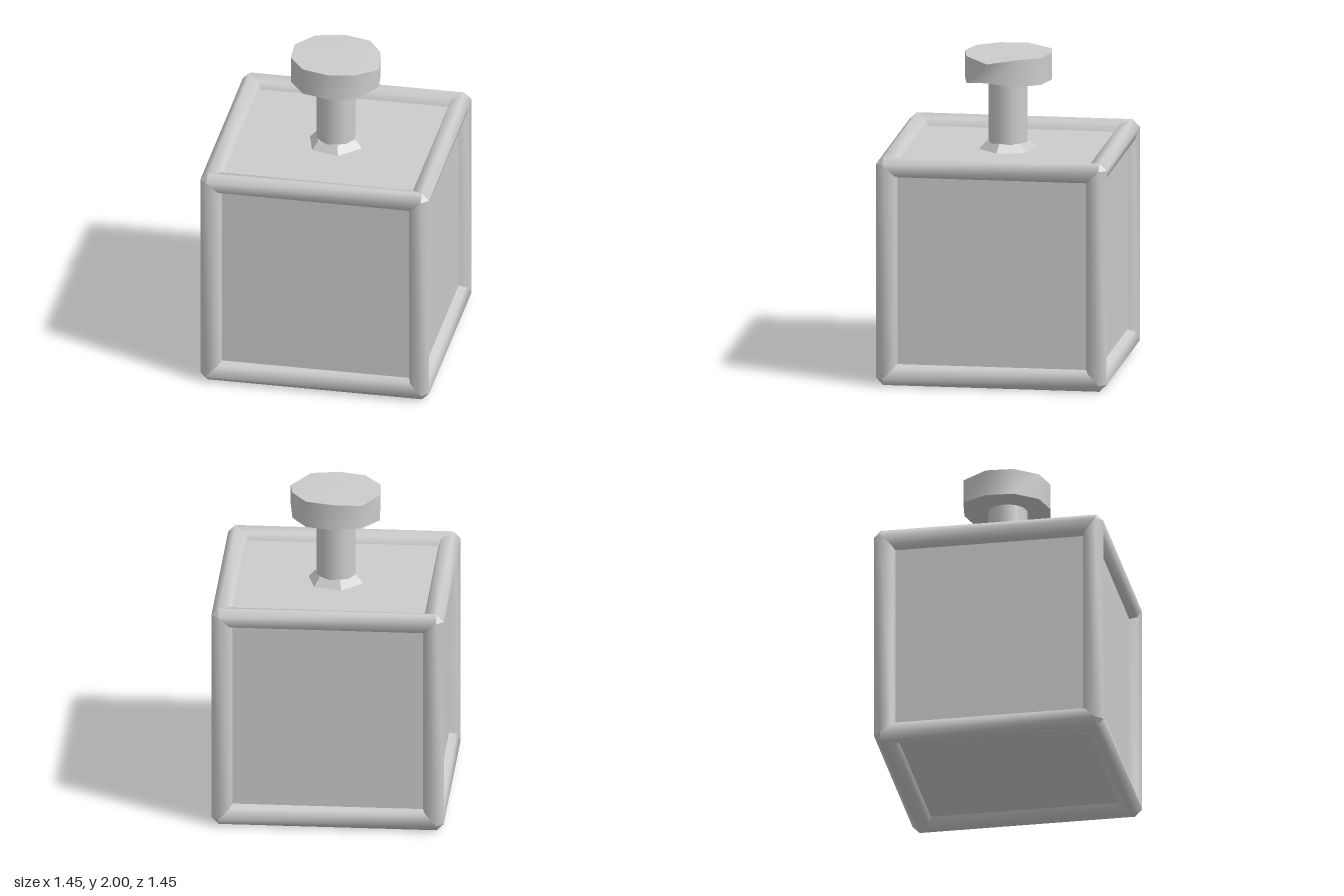
import * as THREE from 'three';

const HALF = 0.725; // half the width of the cube

function build(verts, index) {
  const g = new THREE.BufferGeometry();
  g.setAttribute('position', new THREE.Float32BufferAttribute(verts.flat(), 3));
  g.setIndex(index);
  g.computeVertexNormals();
  return g;
}

// One rounded edge bar along x, mitred where it meets its neighbours
function barGeometry() {
  const profile = [[0.59, 0.65], [0.61, 0.705], [0.68, 0.725], [0.725, 0.68], [0.705, 0.61], [0.65, 0.59]];
  const verts = [], index = [];
  profile.forEach(([y, z], i) => {
    const m = Math.min(y, z);
    verts.push([-m, y, z], [m, y, z]);
    const k = i * 2;
    if (i < profile.length - 1) index.push(k, k + 1, k + 3, k, k + 3, k + 2);
  });
  return build(verts, index);
}

// Uneven ten-sided knob; the two corners that stick out are pinched in height
function knobGeometry() {
  const ring = [[0, -0.275], [0.17, -0.23], [0.265, -0.09], [0.29, 0.09, 0.025], [0.175, 0.235],
    [0, 0.27], [-0.165, 0.225], [-0.27, 0.085], [-0.28, -0.09], [-0.18, -0.25, 0.01]];
  const n = ring.length;
  const top = ring.map(([x, z, d = 0]) => [x, 2 - d, z]);
  const bottom = ring.map(([x, z, d = 0]) => [x, 1.83 + d, z]);
  const verts = [...top, ...bottom, ...top, ...bottom, [0, 2, 0], [0, 1.83, 0]];
  const index = [];
  for (let i = 0; i < n; i++) {
    const j = (i + 1) % n;
    index.push(n + j, n + i, i, n + j, i, j); // side
    index.push(4 * n, 2 * n + j, 2 * n + i); // top
    index.push(4 * n + 1, 3 * n + i, 3 * n + j); // underside
  }
  return build(verts, index);
}

export function createModel() {
  const model = new THREE.Group();
  model.name = 'framedCubeWithKnob';
  const grey = new THREE.MeshStandardMaterial({ color: 0xcccccc });
  grey.name = 'plain grey';

  const add = (parent, name, geometry, y = 0) => {
    const mesh = new THREE.Mesh(geometry, grey);
    mesh.name = name;
    mesh.position.y = y;
    parent.add(mesh);
    return mesh;
  };

  // Recessed panels
  add(model, 'panels', new THREE.BoxGeometry(1.32, 1.32, 1.32), HALF);

  // Frame: four bars along each axis
  const frame = new THREE.Group();
  frame.name = 'frame';
  frame.position.y = HALF;
  model.add(frame);
  const bar = barGeometry();
  for (const [axis, ry, rz] of [['X', 0, 0], ['Y', 0, Math.PI / 2], ['Z', Math.PI / 2, 0]]) {
    const set = new THREE.Group();
    set.name = 'bars' + axis;
    set.rotation.set(0, ry, rz);
    frame.add(set);
    for (let i = 0; i < 4; i++) add(set, 'edgeBar', bar).rotation.x = i * Math.PI / 2;
  }

  // Cut corners
  const corner = build([[0.725, 0.68, 0.68], [0.68, 0.725, 0.68], [0.68, 0.68, 0.725]], [0, 1, 2]);
  for (const flip of [0, Math.PI]) {
    for (let i = 0; i < 4; i++) add(frame, 'corner', corner).rotation.set(flip, i * Math.PI / 2, 0);
  }

  // Collar, stem and knob on top
  const collar = new THREE.CylinderGeometry(0.135, 0.18, 0.05, 6).toNonIndexed();
  collar.computeVertexNormals();
  add(model, 'collar', collar, 1.41).rotation.y = Math.PI * 0.75;
  add(model, 'stem', new THREE.CylinderGeometry(0.122, 0.122, 0.46, 20), 1.61);
  add(model, 'knob', knobGeometry());

  return model;
}
